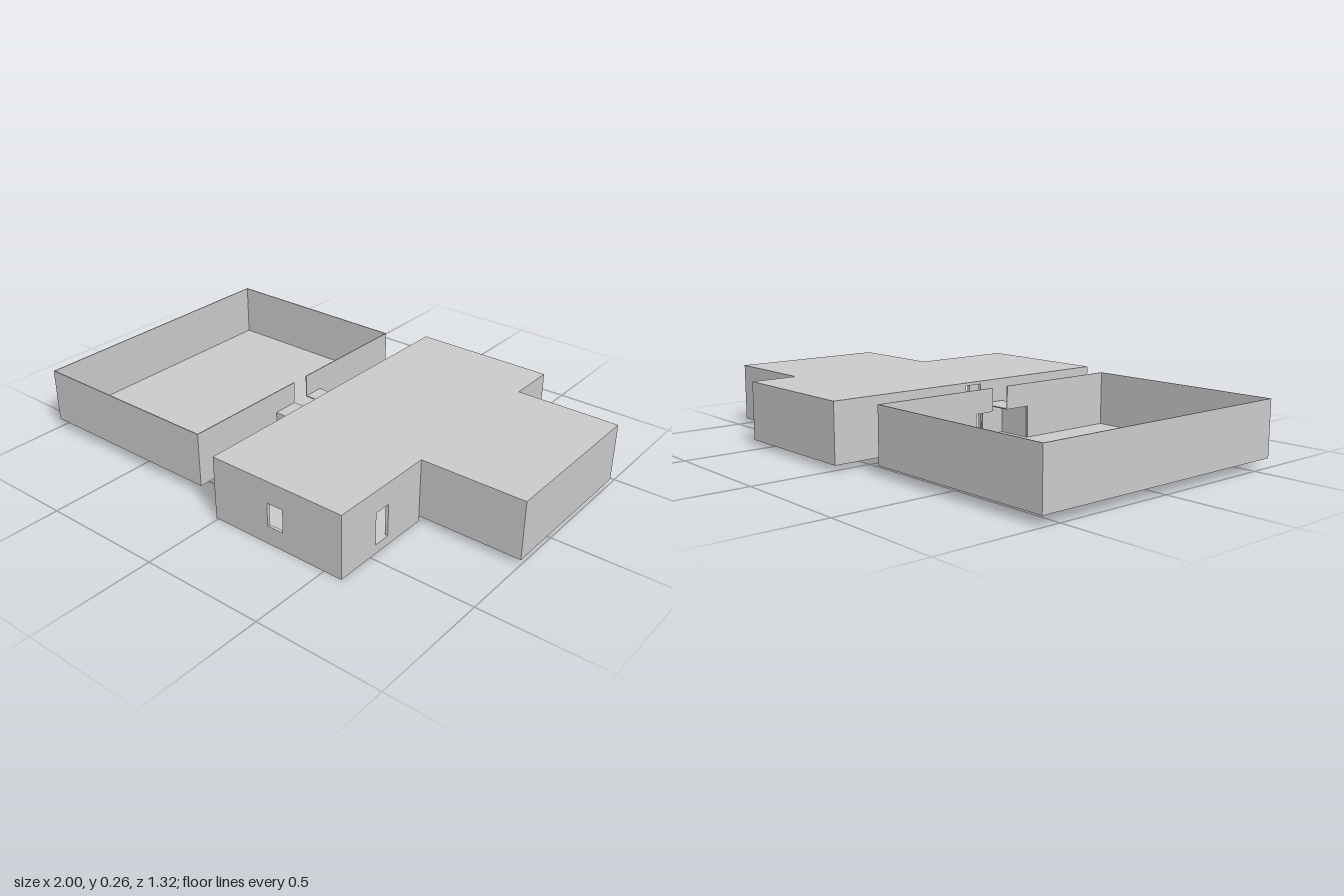
import * as THREE from 'three';

const T = 0.012;      // house wall thickness
const THIN = 0.004;   // courtyard and passage wall thickness
const FLOOR = 0.037;  // shared floor level
const TOP = 0.26;
const DOOR = 0.17;    // head height of openings

export function createModel() {
  const root = new THREE.Group();
  const material = new THREE.MeshStandardMaterial({ color: 0xcccccc, flatShading: true });

  const group = (name) => {
    const g = new THREE.Group();
    g.name = name;
    root.add(g);
    return g;
  };

  const add = (parent, name, geometry) => {
    const mesh = new THREE.Mesh(geometry, material);
    mesh.name = name;
    parent.add(mesh);
    return mesh;
  };

  // Box from its two extreme corners
  const box = (parent, name, [x0, x1], [y0, y1], [z0, z1]) =>
    add(parent, name, new THREE.BoxGeometry(x1 - x0, y1 - y0, z1 - z0))
      .position.set((x0 + x1) / 2, (y0 + y1) / 2, (z0 + z1) / 2);

  const outline = (points) => new THREE.Shape(points.map(([u, v]) => new THREE.Vector2(u, v)));
  const rect = (u0, u1, v0, v1) => outline([[u0, v0], [u1, v0], [u1, v1], [u0, v1]]);

  // Upright panel drawn in x/y, thickened from z toward +z
  const panelX = (parent, name, shape, z, depth) =>
    add(parent, name, new THREE.ExtrudeGeometry(shape, { depth, bevelEnabled: false })).position.z = z;

  // Upright panel drawn in z/y, thickened from x toward -x
  const panelZ = (parent, name, shape, x, depth) => {
    const geometry = new THREE.ExtrudeGeometry(shape, { depth, bevelEnabled: false });
    geometry.rotateY(-Math.PI / 2);
    add(parent, name, geometry).position.x = x;
  };

  // House: floors, T-shaped roof and walls
  const house = group('house');
  const [W, M, E] = [-0.01, 0.575, 1];
  const [N, S] = [-0.66, 0.66];
  const [WN, WS] = [-0.46, 0.21];
  const ROOF = TOP - T;
  const BASE = 0.022;
  box(house, 'frontRoomFloor', [W, M], [0, FLOOR], [WS, S]);
  box(house, 'backRoomFloor', [W, M], [BASE, FLOOR], [N, WS]);
  box(house, 'wingFloor', [M, E], [BASE, FLOOR], [WN, WS]);
  box(house, 'mainRoof', [W, M], [ROOF, TOP], [N, S]);
  box(house, 'wingRoof', [M, E], [ROOF, TOP], [WN, WS]);

  const front = rect(W, M, FLOOR, ROOF);
  front.holes.push(rect(0.245, 0.315, 0.075, DOOR));
  panelX(house, 'frontWallWithWindow', front, S - T, T);

  const side = rect(WS, S - T, FLOOR, ROOF);
  side.holes.push(rect(0.4, 0.47, FLOOR + 0.001, DOOR));
  panelZ(house, 'sideWallWithDoor', side, M, T);

  box(house, 'backWall', [W, M], [FLOOR, ROOF], [N, N + T]);
  box(house, 'backSideWall', [M - T, M], [FLOOR, ROOF], [N + T, WN]);
  box(house, 'wingBackWall', [M - T, E], [FLOOR, ROOF], [WN, WN + T]);
  box(house, 'wingFrontWall', [M - T, E], [FLOOR, ROOF], [WS - T, WS]);
  box(house, 'wingEndWall', [E - T, E], [FLOOR, ROOF], [WN + T, WS - T]);

  // Passage and its narrow centre slot
  const [PN, PS] = [-0.12, 0.15];
  const [SN, SS] = [-0.035, 0.04];

  // House wall facing the passage, split by the slot
  for (const [z0, z1] of [[N + T, SN], [SS, S - T]]) {
    box(house, 'passageSideWall', [W, W + T], [FLOOR, ROOF], [z0, z1]);
  }

  // Open courtyard
  const yard = group('courtyard');
  const [YW, YE, YN, YS] = [-1, -0.165, -0.577, 0.582];
  const YB = 0.037;
  box(yard, 'courtyardFloor', [YW, YE], [YB, YB + THIN], [YN, YS]);
  box(yard, 'courtyardBackWall', [YW, YE], [YB, TOP], [YN, YN + THIN]);
  box(yard, 'courtyardFrontWall', [YW, YE], [YB, TOP], [YS - THIN, YS]);
  box(yard, 'courtyardOuterWall', [YW, YW + THIN], [YB, TOP], [YN + THIN, YS - THIN]);

  // Inner courtyard wall: wide doorway below, slot above
  const y0 = YB + THIN;
  panelZ(yard, 'courtyardGateWall', outline([
    [YN + THIN, y0], [PN, y0], [PN, DOOR], [SN, DOOR], [SN, TOP], [YN + THIN, TOP],
  ]), YE, THIN);
  panelZ(yard, 'courtyardGateWall', outline([
    [PS, y0], [YS - THIN, y0], [YS - THIN, TOP], [SS, TOP], [SS, DOOR], [PS, DOOR],
  ]), YE, THIN);

  // Passage: floor, side walls, end walls and roof strips beside the slot
  const passage = group('passage');
  const PE = -0.018;
  box(passage, 'passageFloor', [YE, PE], [YB, y0], [PN, PS]);
  box(passage, 'passageThreshold', [PE, W], [YB, y0], [SN, SS]);
  for (const [outer, inner, dir] of [[PN, SN, 1], [PS, SS, -1]]) {
    const span = (a, b) => [Math.min(a, b), Math.max(a, b)];
    box(passage, 'passageSideWall', [YE, PE], [y0, DOOR - THIN], span(outer, outer + dir * THIN));
    box(passage, 'passageEndWall', [PE - THIN, PE], [y0, DOOR - THIN], span(outer + dir * THIN, inner));
    box(passage, 'passageRoof', [YE, PE], [DOOR - THIN, DOOR], span(outer, inner));
  }

  return root;
}
